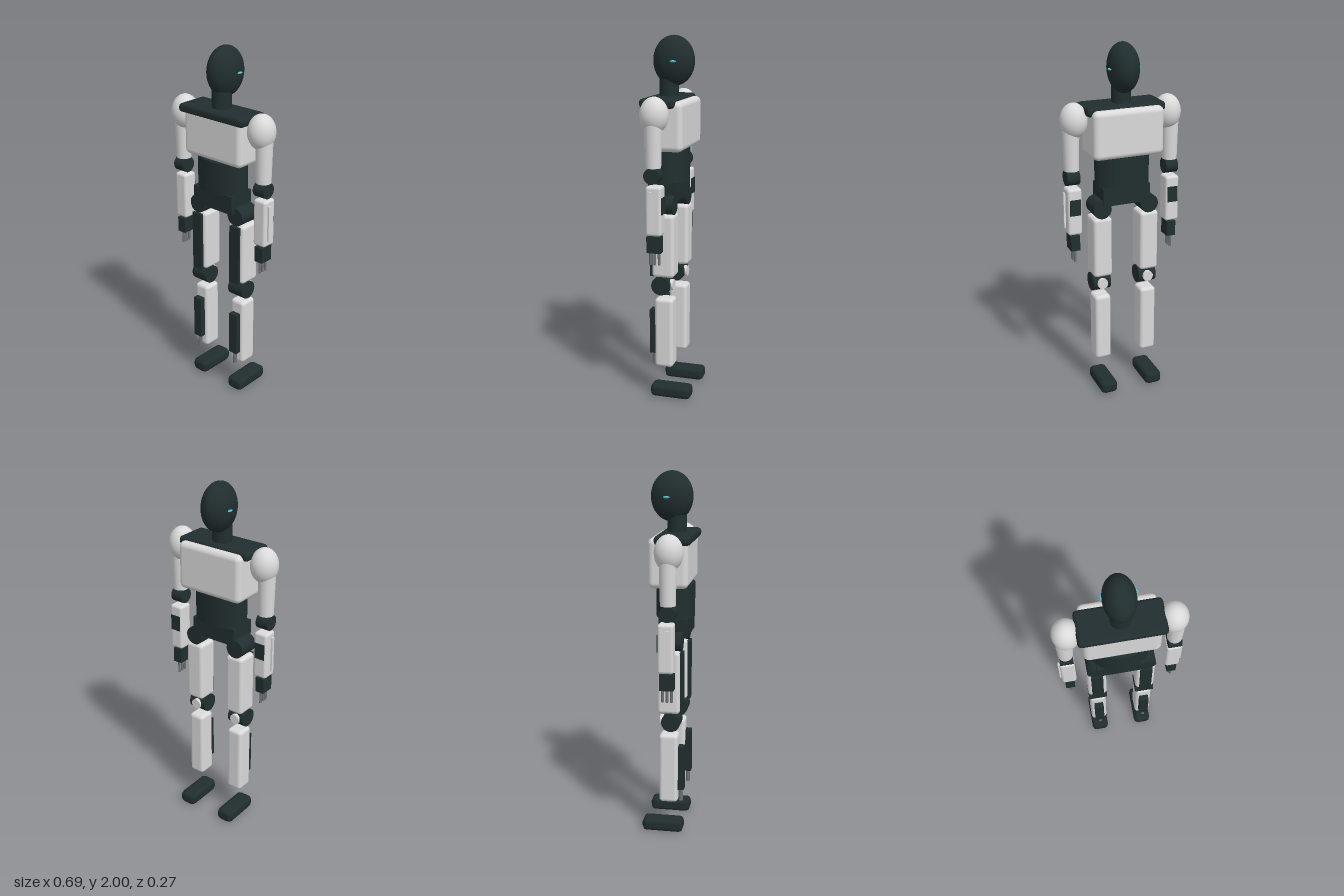
import * as THREE from 'three';
import { RoundedBoxGeometry } from 'three/addons/geometries/RoundedBoxGeometry.js';

export function createModel() {
  const root = new THREE.Group();
  root.name = 'humanoidRobot';

  const mat = (name, color) => {
    const m = new THREE.MeshStandardMaterial({ color });
    m.name = name;
    return m;
  };
  const dark = mat('darkShell', 0x212e2f);
  const light = mat('lightShell', 0xdadada);
  const grey = mat('greyMetal', 0x6c7173);
  const cyan = mat('cyanLight', 0x4fc3d9);

  const add = (parent, name, geometry, material, x, y, z) => {
    const mesh = new THREE.Mesh(geometry, material);
    mesh.name = name;
    mesh.position.set(x, y, z);
    parent.add(mesh);
    return mesh;
  };
  // Box given by its limits, with optional rounded or chamfered edges
  const block = (parent, name, material, [x0, x1], [y0, y1], [z0, z1], r = 0, seg = 4) => {
    const w = x1 - x0, h = y1 - y0, d = z1 - z0;
    const g = r ? new RoundedBoxGeometry(w, h, d, seg, r) : new THREE.BoxGeometry(w, h, d);
    return add(parent, name, g, material, (x0 + x1) / 2, (y0 + y1) / 2, (z0 + z1) / 2);
  };
  const ellipsoid = (parent, name, material, [rx, ry, rz], x, y, z) =>
    add(parent, name, new THREE.SphereGeometry(1, 40, 28).scale(rx, ry, rz), material, x, y, z);
  const drum = (parent, name, material, r, length, axis, x, y, z) => {
    const g = new THREE.CylinderGeometry(r, r, length, 32);
    if (axis === 'x') g.rotateZ(Math.PI / 2);
    if (axis === 'z') g.rotateX(Math.PI / 2);
    return add(parent, name, g, material, x, y, z);
  };

  // Head and torso
  ellipsoid(root, 'head', dark, [0.083, 0.134, 0.114], 0, 1.866, 0.006);
  drum(root, 'neck', dark, 0.053, 0.12, 'y', 0, 1.71, 0.033);
  block(root, 'shoulderPlate', dark, [-0.224, 0.224], [1.63, 1.68], [-0.058, 0.136], 0.02, 1);
  block(root, 'chest', light, [-0.2, 0.2], [1.4, 1.665], [-0.094, 0.12], 0.03);
  add(root, 'abdomen', new THREE.CylinderGeometry(1, 1, 0.18, 48).scale(0.155, 1, 0.104),
    dark, 0, 1.315, 0.027);
  block(root, 'pelvis', dark, [-0.137, 0.137], [1.127, 1.23], [-0.047, 0.112]);

  for (const s of [1, -1]) {
    const side = s > 0 ? 'left' : 'right';
    const arm = new THREE.Group();
    arm.name = side + 'Arm';
    arm.position.set(s * 0.288, 0, 0.03);
    const leg = new THREE.Group();
    leg.name = side + 'Leg';
    leg.position.set(s * 0.138, 0, 0);
    root.add(arm, leg);

    // Side light on the head
    ellipsoid(root, side + 'HeadLight', cyan, [0.008, 0.006, 0.018], s * 0.083, 1.866, -0.012);

    // Arm
    ellipsoid(arm, 'shoulder', light, [0.074, 0.095, 0.076], s * -0.018, 1.603, 0.002);
    add(arm, 'upperArm', new THREE.CylinderGeometry(0.047, 0.041, 0.25, 32), light, 0, 1.458, 0.001);
    drum(arm, 'elbow', dark, 0.043, 0.072, 'x', 0, 1.293, 0.002);
    block(arm, 'forearm', light, [-0.04, 0.04], [0.975, 1.24], [-0.05, 0.035], 0.015);
    block(arm, 'forearmFin', light, s > 0 ? [0.036, 0.05] : [-0.05, -0.036], [1.01, 1.21], [-0.004, 0.012]);
    block(arm, 'forearmBackPanel', dark, [-0.03, 0.03], [1.09, 1.18], [-0.054, -0.046]);
    block(arm, 'hand', dark, [-0.026, 0.026], [0.88, 0.968], [-0.043, 0.034]);
    for (const z of [-0.028, -0.004, 0.02])
      drum(arm, 'finger', grey, 0.007, 0.075, 'y', 0, 0.848, z);

    // Leg
    drum(leg, 'hip', dark, 0.052, 0.125, 'z', 0, 1.107, 0.022);
    block(leg, 'thigh', light, [-0.054, 0.054], [0.708, 1.06], [-0.047, 0.077], 0.02);
    block(leg, 'thighPanel', dark, [-0.033, 0.033], [0.708, 1.05], [0.07, 0.092]);
    drum(leg, 'knee', dark, 0.052, 0.105, 'x', 0, 0.66, 0.028);
    drum(leg, 'kneeCap', light, 0.03, 0.04, 'z', 0, 0.66, -0.015);
    block(leg, 'shin', light, [-0.047, 0.047], [0.185, 0.585], [-0.039, 0.065], 0.02);
    block(leg, 'shinPanel', dark, [-0.027, 0.027], [0.257, 0.51], [0.06, 0.098]);
    drum(leg, 'shinRod', grey, 0.012, 0.08, 'y', 0, 0.225, 0.078);
    block(leg, 'foot', dark, [-0.05, 0.05], [0, 0.073], [-0.137, 0.093], 0.024, 1);
  }
  return root;
}
